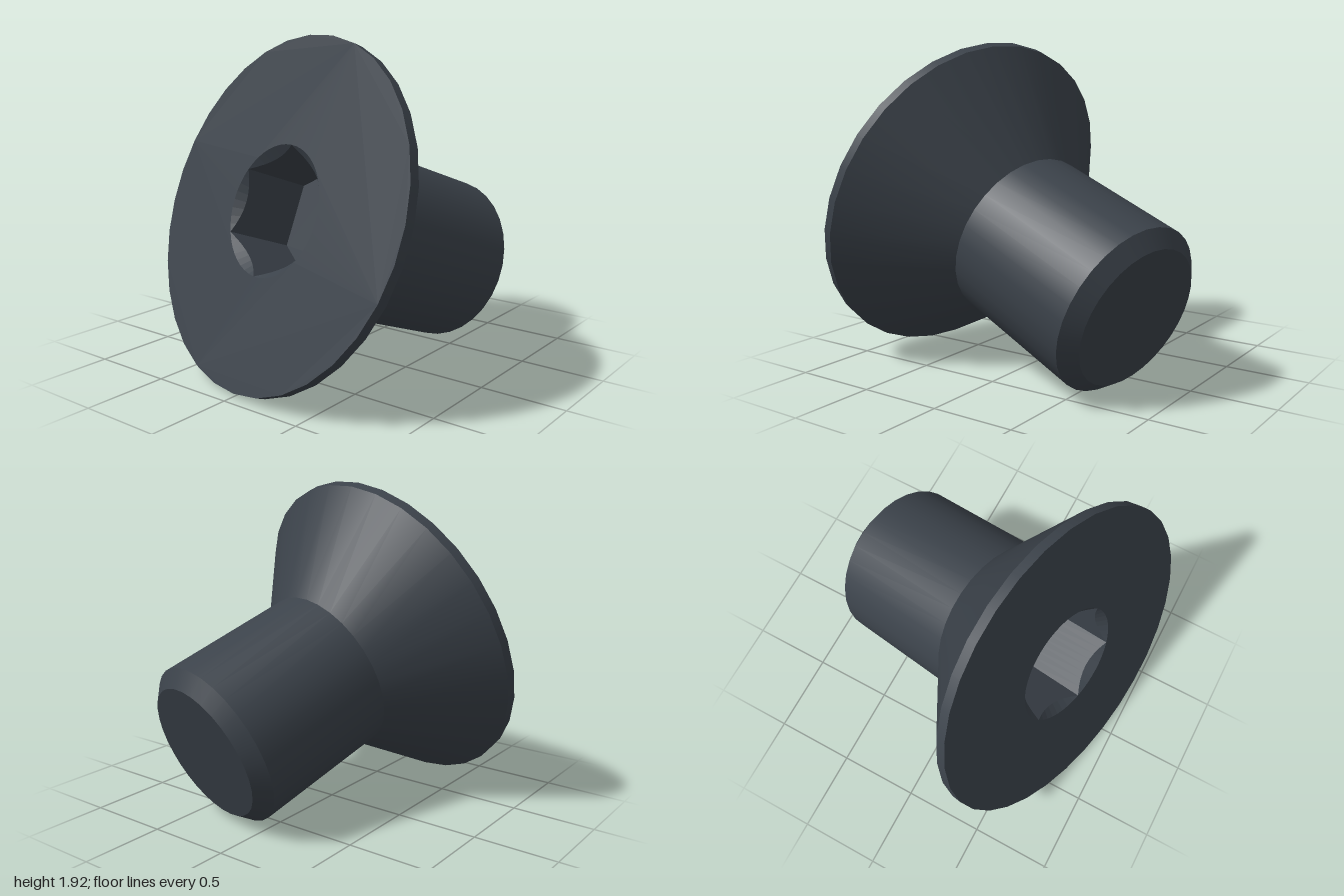
import * as THREE from 'three';

const SEGMENTS = 32;
const HEAD_R = 1.013, SHAFT_R = 0.507, TIP_R = 0.42;
const SOCKET_R = 0.377, SOCKET_DEPTH = 0.43;
const SOCKET_TURN = THREE.MathUtils.degToRad(-14);

// Point on a circle around the screw axis (local +y points out of the head)
const polar = (r, a) => new THREE.Vector2(r * Math.cos(a), r * Math.sin(a));
const ring = (n, r, turn = 0) =>
  Array.from({ length: n }, (_, i) => polar(r, turn + (i / n) * Math.PI * 2));

// Flat face lying across the axis, facing out of the head
function flatFace(shape, y) {
  return new THREE.ShapeGeometry(shape).rotateX(-Math.PI / 2).translate(0, y, 0);
}

// Socket sides: a conical lead-in cut by six flat walls
function socketSides() {
  const n = 48, positions = [];
  const column = (i) => {
    const a = (i / n) * Math.PI * 2;
    const local = (a % (Math.PI / 3)) - Math.PI / 6;
    const hexR = i % (n / 6) === 0 ? SOCKET_R : SOCKET_R * Math.cos(Math.PI / 6) / Math.cos(local);
    return [[SOCKET_R, 0], [hexR, hexR - SOCKET_R], [hexR, -SOCKET_DEPTH]].map(([r, y]) => {
      const p = polar(r, a + SOCKET_TURN);
      return [p.x, y, -p.y];
    });
  };
  for (let i = 0; i < n; i++) {
    const a = column(i), b = column(i + 1);
    for (let k = 0; k < 2; k++) {
      // Wound to face the axis
      positions.push(...a[k], ...b[k], ...a[k + 1], ...b[k], ...b[k + 1], ...a[k + 1]);
    }
  }
  const g = new THREE.BufferGeometry();
  g.setAttribute('position', new THREE.Float32BufferAttribute(positions, 3));
  g.computeVertexNormals();
  return g;
}

export function createModel() {
  const steel = new THREE.MeshStandardMaterial({ color: 0x3b424a });
  steel.name = 'dark steel';

  const screw = new THREE.Group();
  screw.name = 'countersunkScrew';
  const add = (name, geometry) => {
    const mesh = new THREE.Mesh(geometry, steel);
    mesh.name = name;
    screw.add(mesh);
  };

  // Turned surfaces, each a separate band so the edges stay sharp
  const bands = [
    ['shaftEnd', 0, -1.52, TIP_R, -1.52],
    ['shaftChamfer', TIP_R, -1.52, SHAFT_R, -1.44],
    ['shaft', SHAFT_R, -1.44, SHAFT_R, -0.572],
    ['headCone', SHAFT_R, -0.572, HEAD_R, -0.06],
    ['headRim', HEAD_R, -0.06, HEAD_R, 0],
  ];
  for (const [name, r0, y0, r1, y1] of bands) {
    add(name, new THREE.LatheGeometry([new THREE.Vector2(r0, y0), new THREE.Vector2(r1, y1)], SEGMENTS));
  }

  // Head face with the socket opening
  const face = new THREE.Shape(ring(SEGMENTS, HEAD_R));
  face.holes.push(new THREE.Path(ring(48, SOCKET_R, SOCKET_TURN)));
  add('headFace', flatFace(face, 0));

  // Hexagonal socket
  add('socketSides', socketSides());
  add('socketFloor', flatFace(new THREE.Shape(ring(6, SOCKET_R, SOCKET_TURN)), -SOCKET_DEPTH));

  // Tilt the screw so it rests on its rim and shaft end
  const up = new THREE.Vector3(-0.919, 0.34, -0.198).normalize();
  const back = new THREE.Vector3(-0.251, -0.899, -0.359);
  const side = new THREE.Vector3().crossVectors(up, back).normalize();
  back.crossVectors(side, up);
  screw.quaternion.setFromRotationMatrix(new THREE.Matrix4().makeBasis(side, up, back));
  screw.position.set(-0.58, 0.972, -0.01);

  const model = new THREE.Group();
  model.name = 'model';
  model.add(screw);
  return model;
}
